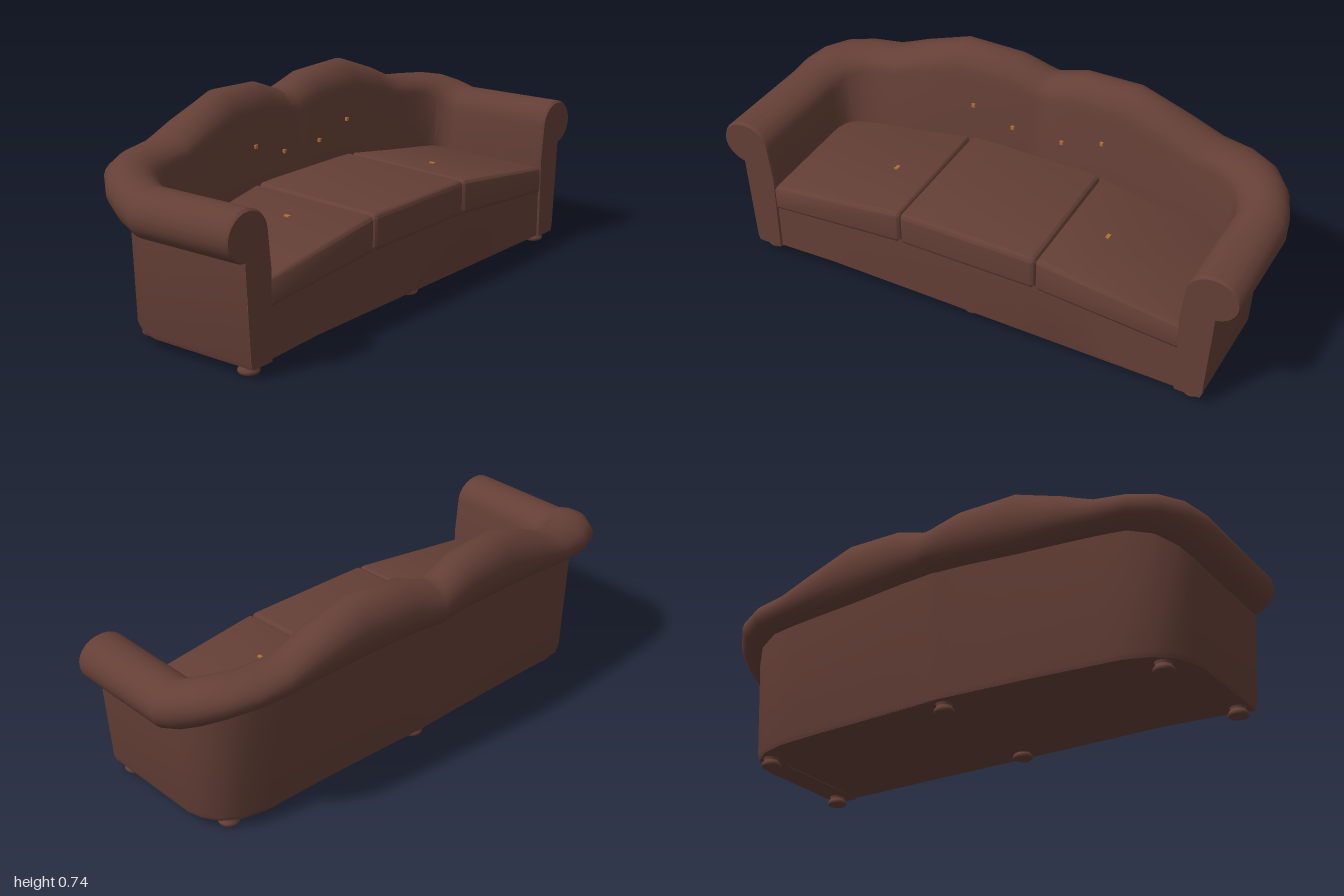
import * as THREE from 'three';
import { toCreasedNormals } from 'three/addons/utils/BufferGeometryUtils.js';
import { RoundedBoxGeometry } from 'three/addons/geometries/RoundedBoxGeometry.js';

const lerp = THREE.MathUtils.lerp;

// Half of the arm-and-back sweep, from the front of the left arm to the middle.
// inner x,z | outer roll x,z | wall foot x,z | roll top, roll bottom | inward lean
const HALF = [
  [0.815, 0.37, 0.995, 0.37, 0.90, 0.366, 0.555, 0.395, 0.08],
  [0.81, 0.36, 1.0, 0.36, 0.90, 0.36, 0.562, 0.39, 0.08],
  [0.81, -0.04, 1.0, -0.04, 0.90, -0.05, 0.562, 0.39, 0.08],
  [0.80, -0.08, 0.985, -0.11, 0.885, -0.11, 0.585, 0.41, 0.1],
  [0.78, -0.11, 0.95, -0.19, 0.85, -0.17, 0.605, 0.44, 0.13],
  [0.74, -0.135, 0.88, -0.27, 0.79, -0.215, 0.615, 0.475, 0.17],
  [0.68, -0.15, 0.78, -0.32, 0.70, -0.238, 0.62, 0.495, 0.2],
  [0.60, -0.155, 0.66, -0.335, 0.62, -0.24, 0.63, 0.50, 0.22],
  [0.50, -0.16, 0.54, -0.34, 0.50, -0.243, 0.68, 0.505, 0.24],
  [0.34, -0.17, 0.35, -0.35, 0.34, -0.248, 0.742, 0.51, 0.25],
  [0.13, -0.185, 0.13, -0.362, 0.13, -0.255, 0.73, 0.52, 0.25],
  [0.03, -0.195, 0.02, -0.37, 0.03, -0.258, 0.69, 0.52, 0.25],
  [0, -0.2, 0, -0.373, 0, -0.26, 0.683, 0.52, 0.25],
];
const mirrorStation = ([ix, iz, ox, oz, wx, wz, ...rest]) => [-ix, iz, -ox, oz, -wx, wz, ...rest];
const STATIONS = [...HALF, ...HALF.slice(0, -1).reverse().map(mirrorStation)];

// Gently arched underside and seat lines
const bottomY = x => 0.04 + 0.022 * (1 - (x / 0.9) ** 2);
const seatLowY = x => 0.258 - 0.043 * (x / 0.8) ** 2;
function seatTopY(x, z) {
  const a = Math.abs(x);
  const front = a < 0.27 ? 0.393 - 0.11 * a * a : lerp(0.385, 0.315, (a - 0.27) / 0.53);
  return front + 0.02 * (0.368 - z) / 0.528;
}

// One closed cross-section: inner face, roll, outer wall, underside
function section([ix, iz, ox, oz, wx, wz, top, low, lean]) {
  const across = (t, y) => new THREE.Vector3(lerp(ix, ox, t), y, lerp(iz, oz, t));
  const yb = bottomY(wx), mid = (top + low) / 2, b = (top - low) / 2;
  const pts = [across(-lean, yb), across(-lean, 0.35)];
  const steps = 18;
  for (let i = 0; i <= steps; i++) {
    const a = lerp(Math.PI, -1.4, i / steps);
    pts.push(across(0.5 + 0.5 * Math.cos(a), mid + b * Math.sin(a)));
  }
  pts.push(new THREE.Vector3(wx, yb + 0.02, wz));
  pts.push(new THREE.Vector3(lerp(wx, ix, 0.08), yb, lerp(wz, iz, 0.08)));
  pts.push(pts[0].clone());
  return pts;
}

function loft(rows) {
  const n = rows[0].length, index = [];
  for (let r = 0; r < rows.length - 1; r++) {
    for (let c = 0; c < n - 1; c++) {
      const a = r * n + c, b = a + n;
      index.push(a, a + 1, b, a + 1, b + 1, b);
    }
  }
  const g = new THREE.BufferGeometry().setFromPoints(rows.flat());
  g.setIndex(index);
  return toCreasedNormals(g, 0.6);
}

export function createModel() {
  const group = new THREE.Group();
  const leather = new THREE.MeshStandardMaterial({ color: 0x643f36 });
  leather.name = 'brown leather';
  const amber = new THREE.MeshStandardMaterial({ color: 0xb07030 });
  amber.name = 'amber';
  const add = (name, geometry, material = leather) => {
    const mesh = new THREE.Mesh(geometry, material);
    mesh.name = name;
    group.add(mesh);
    return mesh;
  };

  // Arms and back in one rolled sweep, with flat arm fronts
  const rows = STATIONS.map(section);
  add('armsAndBack', loft(rows));
  for (const [name, row] of [['leftArmFront', rows[0]], ['rightArmFront', rows.at(-1)]]) {
    const face = new THREE.Shape(row.slice(0, -1).map(p => new THREE.Vector2(p.x, p.y)));
    add(name, new THREE.ShapeGeometry(face)).position.z = 0.37;
  }

  // Base: plan outline raised between the arched underside and seat line
  const outline = STATIONS.slice(1, -1).map(([ix, iz, , , wx, wz]) =>
    new THREE.Vector2(lerp(wx, ix, 0.1), -lerp(wz, iz, 0.1)));
  for (let i = 0; i <= 16; i++) outline.push(new THREE.Vector2(lerp(-0.89, 0.89, i / 16), -0.363));
  const base = new THREE.ExtrudeGeometry(new THREE.Shape(outline), { depth: 1, bevelEnabled: false });
  base.rotateX(-Math.PI / 2);
  const bp = base.attributes.position;
  for (let i = 0; i < bp.count; i++) {
    const x = bp.getX(i);
    bp.setY(i, lerp(bottomY(x), seatLowY(x) + 0.02, bp.getY(i)));
  }
  add('base', toCreasedNormals(base, 0.6));

  // Three seat cushions bent to the seat arch
  for (const [name, x0, x1] of [
    ['rightCushion', -0.81, -0.267], ['middleCushion', -0.267, 0.267], ['leftCushion', 0.267, 0.81]]) {
    const g = new RoundedBoxGeometry(x1 - x0, 0.12, 0.528, 4, 0.018);
    g.translate((x0 + x1) / 2, 0.06, 0.104);
    const p = g.attributes.position;
    for (let i = 0; i < p.count; i++) {
      const x = p.getX(i);
      p.setY(i, lerp(seatLowY(x), seatTopY(x, p.getZ(i)), p.getY(i) / 0.12));
    }
    add(name, toCreasedNormals(g, 0.7));
  }

  // Turned bun feet
  const foot = new THREE.LatheGeometry([
    [0, 0], [0.033, 0.002], [0.037, 0.008], [0.036, 0.015], [0.028, 0.024], [0.027, 0.03], [0.031, 0.036], [0.031, 0.05],
  ].map(([r, y]) => new THREE.Vector2(r, y)), 20);
  for (const [x, z] of [[0.85, 0.315], [-0.85, 0.315], [0, 0.315], [0.8, -0.15], [-0.8, -0.15], [0, -0.205]]) {
    add('foot', foot).position.set(x, bottomY(x) - 0.037, z);
  }

  // Tiny amber studs on the back and seat
  const stud = new THREE.BoxGeometry(0.013, 0.013, 0.009);
  const seatStud = new THREE.BoxGeometry(0.013, 0.009, 0.022);
  for (const s of [-1, 1]) {
    add('backStud', stud, amber).position.set(s * 0.26, 0.535, -0.158);
    add('backStud', stud, amber).position.set(s * 0.1, 0.485, -0.162);
    add('seatStud', seatStud, amber).position.set(s * 0.425, seatTopY(0.425, 0.12), 0.12);
  }
  return group;
}
